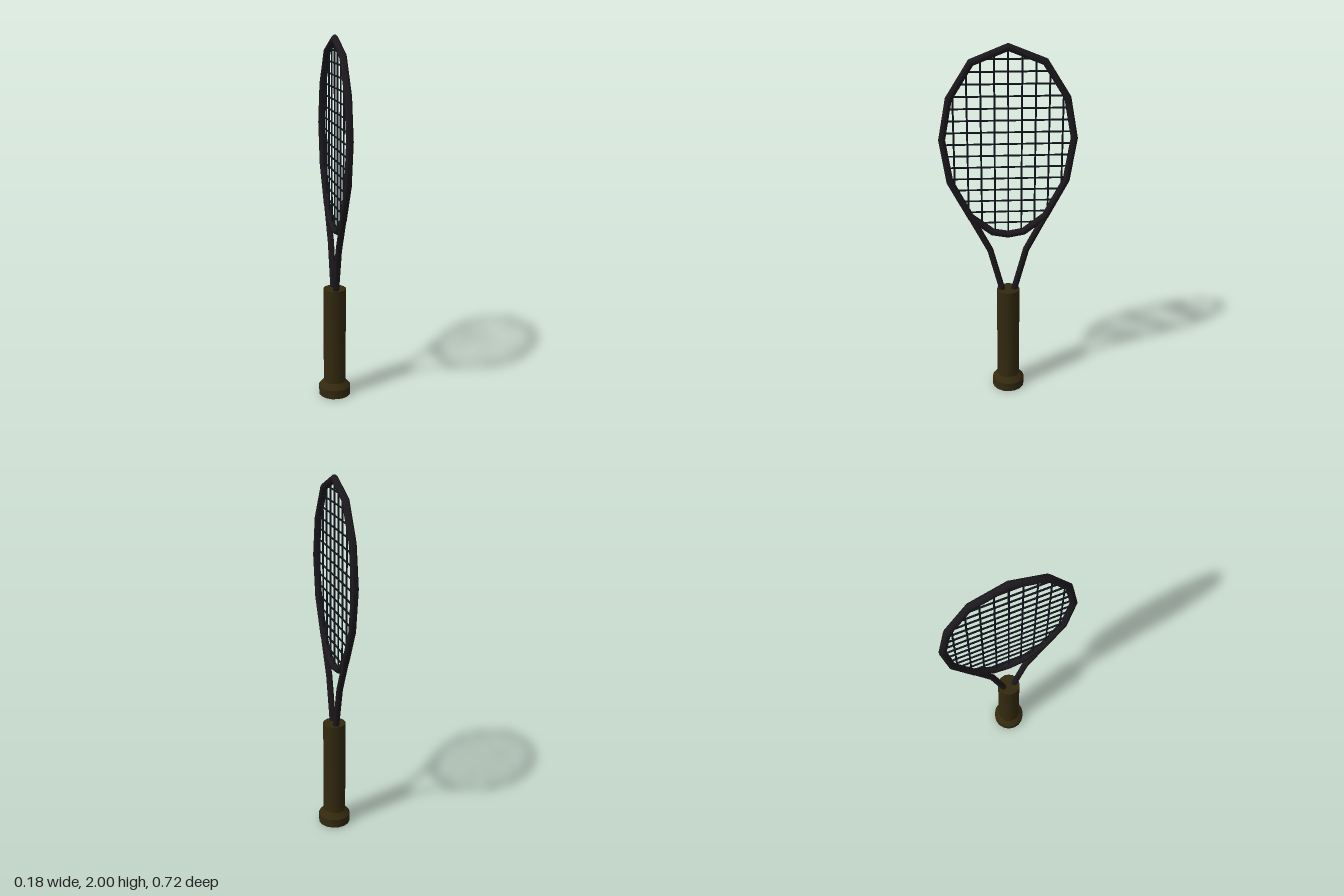
import * as THREE from 'three';
import { toCreasedNormals } from 'three/addons/utils/BufferGeometryUtils.js';

const material = (color) => new THREE.MeshStandardMaterial({ color });
const frameMat = material(0x1c181d);
const gripMat = material(0x33290f);
const stringMat = material(0x10141c);

// Right half of the hoop, as [z, y], from the tip to the throat
const half = [[0, 1.98], [0.187, 1.905], [0.303, 1.72], [0.343, 1.505],
  [0.307, 1.275], [0.2, 1.07], [0.083, 0.98], [0, 0.965]];
const hoop = [...half, ...half.slice(1, -1).reverse().map(([z, y]) => [-z, y])];

// Round tube with mitred corners along a path of [z, y] points
function mitredTube(path, radius, closed, sides = 8) {
  const pts = path.map(([z, y]) => new THREE.Vector2(z, y));
  const n = pts.length;
  const positions = [], index = [];
  pts.forEach((p, i) => {
    const prev = closed ? pts[(i + n - 1) % n] : pts[Math.max(i - 1, 0)];
    const next = closed ? pts[(i + 1) % n] : pts[Math.min(i + 1, n - 1)];
    const into = p.clone().sub(prev).normalize();
    const out = next.clone().sub(p).normalize();
    const t = into.clone().add(out).normalize();
    const stretch = 1 / Math.max(t.dot(into), t.dot(out));
    for (let j = 0; j < sides; j++) {
      const a = ((j + 0.5) / sides) * Math.PI * 2;
      const c = Math.cos(a) * radius * stretch;
      positions.push(Math.sin(a) * radius, p.y - t.x * c, p.x + t.y * c);
    }
  });
  for (let i = 0; i < (closed ? n : n - 1); i++) {
    for (let j = 0; j < sides; j++) {
      const k = (j + 1) % sides, m = (i + 1) % n;
      const a = i * sides + j, b = i * sides + k, c = m * sides + k, d = m * sides + j;
      index.push(a, b, c, a, c, d);
    }
  }
  const geo = new THREE.BufferGeometry();
  geo.setAttribute('position', new THREE.Float32BufferAttribute(positions, 3));
  geo.setIndex(index);
  return toCreasedNormals(geo, 0.9);
}

// Where a line of constant z (axis 0) or constant y (axis 1) crosses the hoop
function crossings(axis, value) {
  const hits = [];
  hoop.forEach((p, i) => {
    const q = hoop[(i + 1) % hoop.length];
    if ((p[axis] <= value) === (q[axis] <= value)) return;
    const f = (value - p[axis]) / (q[axis] - p[axis]);
    hits.push(p[1 - axis] + f * (q[1 - axis] - p[1 - axis]));
  });
  return [Math.min(...hits), Math.max(...hits)];
}

export function createModel() {
  const group = new THREE.Group();
  const add = (parent, name, geo, mat) => {
    const mesh = new THREE.Mesh(geo, mat);
    mesh.name = name;
    parent.add(mesh);
    return mesh;
  };

  // Grip with a flared butt cap
  const profile = [[0, 0], [0.09, 0], [0.09, 0.05], [0.063, 0.08], [0.063, 0.63], [0, 0.63]]
    .map(([r, y]) => new THREE.Vector2(r, y));
  add(group, 'grip', toCreasedNormals(new THREE.LatheGeometry(profile, 16), 0.6), gripMat);

  // Hoop and the two throat arms
  add(group, 'hoop', mitredTube(hoop, 0.019, true), frameMat);
  for (const s of [1, -1]) {
    const arm = [[0.03 * s, 0.58], [0.034 * s, 0.63], [0.098 * s, 0.872], [0.2 * s, 1.07]];
    add(group, s > 0 ? 'throatArmFront' : 'throatArmBack', mitredTube(arm, 0.0175, false), frameMat);
  }

  // Strings, cut to the inside of the hoop
  const strings = new THREE.Group();
  strings.name = 'strings';
  group.add(strings);
  for (let i = -4; i <= 4; i++) {
    const z = i * 0.0705;
    const [lo, hi] = crossings(0, z);
    add(strings, 'mainString', new THREE.CylinderGeometry(0.005, 0.005, hi - lo, 6), stringMat)
      .position.set(0, (lo + hi) / 2, z);
  }
  for (let i = 0; i < 15; i++) {
    const y = 1.036 + i * 0.0632;
    const [lo, hi] = crossings(1, y);
    const cross = add(strings, 'crossString', new THREE.CylinderGeometry(0.005, 0.005, hi - lo, 6), stringMat);
    cross.rotation.x = Math.PI / 2;
    cross.position.set(0, y, (lo + hi) / 2);
  }
  return group;
}
